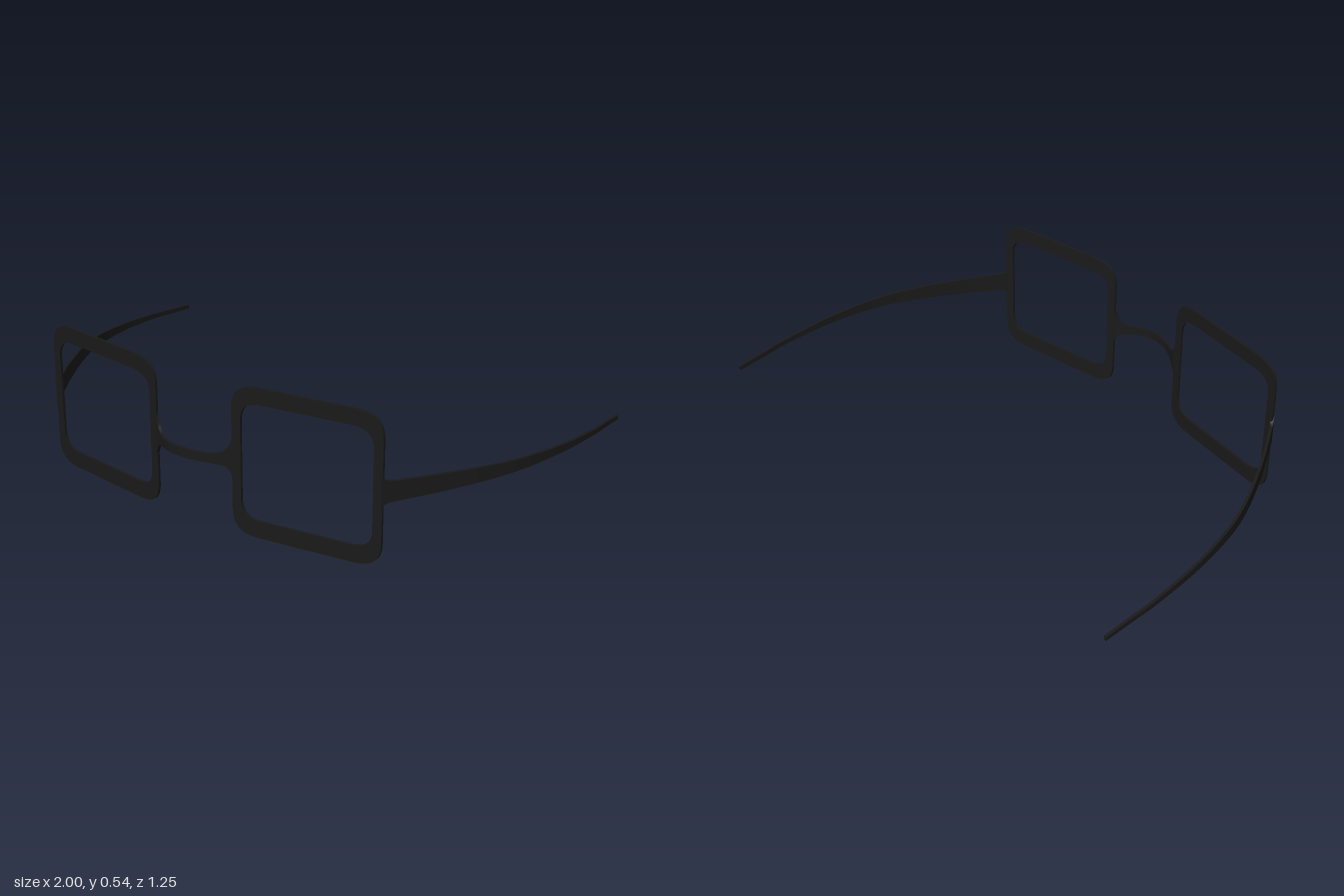
import * as THREE from 'three';
import { toCreasedNormals } from 'three/addons/utils/BufferGeometryUtils.js';

const THICK = 0.01;
const material = new THREE.MeshStandardMaterial({ color: 0x1a1a1a });

function addMesh(parent, name, geometry) {
  const mesh = new THREE.Mesh(toCreasedNormals(geometry, 0.6), material);
  mesh.name = name;
  parent.add(mesh);
}

// Rounded rectangle with soft corners, long along x (rx) and shorter along y (ry)
function roundedRect(path, x0, x1, y0, y1, rx, ry) {
  const k = 0.3; // how far the corner handles stop short of the sharp corner
  path.moveTo(x0 + rx, y0);
  path.lineTo(x1 - rx, y0);
  path.bezierCurveTo(x1 - rx * k, y0, x1, y0 + ry * k, x1, y0 + ry);
  path.lineTo(x1, y1 - ry);
  path.bezierCurveTo(x1, y1 - ry * k, x1 - rx * k, y1, x1 - rx, y1);
  path.lineTo(x0 + rx, y1);
  path.bezierCurveTo(x0 + rx * k, y1, x0, y1 - ry * k, x0, y1 - ry);
  path.lineTo(x0, y0 + ry);
  path.bezierCurveTo(x0, y0 + ry * k, x0 + rx * k, y0, x0 + rx, y0);
  return path;
}

// Thin upright band through sections [x, z, top, bottom]
function band(sections, steps) {
  const edge = (i) => new THREE.CatmullRomCurve3(
    sections.map((s) => new THREE.Vector3(s[0], s[i], s[1])), false, 'catmullrom');
  const top = edge(2), bottom = edge(3);
  const pos = [], index = [];
  for (let i = 0; i <= steps; i++) {
    const t = i / steps;
    const a = top.getPoint(t), b = bottom.getPoint(t);
    const dir = top.getTangent(t).setY(0).normalize();
    const nx = -dir.z * THICK / 2, nz = dir.x * THICK / 2;
    pos.push(a.x + nx, a.y, a.z + nz, b.x + nx, b.y, b.z + nz,
      b.x - nx, b.y, b.z - nz, a.x - nx, a.y, a.z - nz);
    if (i === steps) break;
    for (let j = 0; j < 4; j++) {
      const p = i * 4 + j, q = i * 4 + (j + 1) % 4;
      index.push(p, q, q + 4, p, q + 4, p + 4);
    }
  }
  const e = steps * 4;
  index.push(0, 2, 1, 0, 3, 2, e, e + 1, e + 2, e, e + 2, e + 3);
  const geometry = new THREE.BufferGeometry();
  geometry.setAttribute('position', new THREE.Float32BufferAttribute(pos, 3));
  geometry.setIndex(index);
  geometry.computeVertexNormals();
  return geometry;
}

// Square lens rim, swept back toward the temple
function rim(side) {
  const shape = roundedRect(new THREE.Shape(), -0.268, 0.268, 0, 0.542, 0.1, 0.09);
  shape.holes.push(roundedRect(new THREE.Path(), -0.236, 0.236, 0.062, 0.484, 0.08, 0.07));
  const geometry = new THREE.ExtrudeGeometry(shape, { depth: THICK, bevelEnabled: false, curveSegments: 10 });
  geometry.translate(0, 0, -THICK / 2);
  const p = geometry.attributes.position;
  for (let i = 0; i < p.count; i++) {
    const x = p.getX(i);
    p.setXYZ(i, x + side * 0.428, p.getY(i), p.getZ(i) + 0.518 - side * x * 0.142);
  }
  geometry.computeVertexNormals();
  return geometry;
}

// Half of the bridge, from the flare at the rim to the middle
const bridgeHalf = [
  [0.168, 0.555, 0.375, 0.185],
  [0.157, 0.559, 0.335, 0.215],
  [0.142, 0.566, 0.305, 0.239],
  [0.115, 0.583, 0.289, 0.249],
  [0.065, 0.608, 0.289, 0.256],
  [0, 0.619, 0.292, 0.258],
];

// Temple arm, from the rim to the tip
const temple = [
  [0.692, 0.485, 0.335, 0.215],
  [0.702, 0.468, 0.312, 0.233],
  [0.745, 0.4, 0.305, 0.236],
  [0.805, 0.3, 0.299, 0.237],
  [0.883, 0.15, 0.289, 0.238],
  [0.941, 0, 0.278, 0.238],
  [0.98, -0.2, 0.259, 0.231],
  [0.993, -0.4, 0.238, 0.218],
  [0.99, -0.51, 0.226, 0.208],
  [0.987, -0.622, 0.214, 0.198],
];

const mirrored = (sections) => sections.map(([x, ...rest]) => [-x, ...rest]);

export function createModel() {
  const group = new THREE.Group();
  group.name = 'glasses';

  const bridge = [...mirrored(bridgeHalf), ...bridgeHalf.slice(0, -1).reverse()];
  addMesh(group, 'bridge', band(bridge, 60));

  for (const [side, label] of [[1, 'left'], [-1, 'right']]) {
    addMesh(group, label + 'Rim', rim(side));
    const arm = side > 0 ? temple : mirrored(temple).reverse();
    addMesh(group, label + 'Temple', band(arm, 54));
  }
  return group;
}
